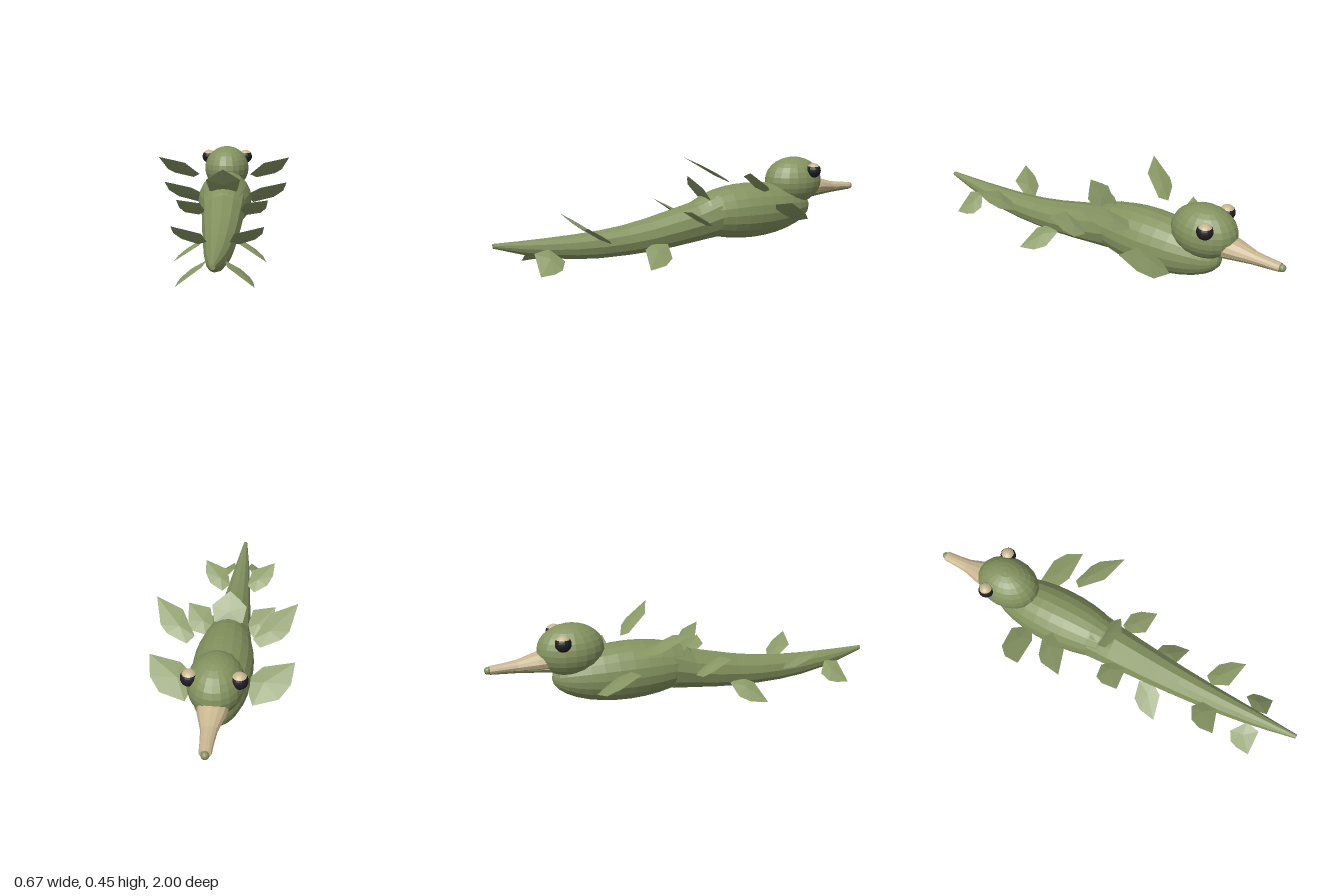
import * as THREE from 'three';

const mat = (name, color, side = THREE.FrontSide) =>
  Object.assign(new THREE.MeshStandardMaterial({ color, flatShading: true, side }), { name });

export function createModel() {
  const green = mat('body green', 0x84935f);
  const leafGreen = mat('leaf green', 0x8a9966, THREE.DoubleSide);
  const tan = mat('snout tan', 0xc8b690);
  const black = mat('eye black', 0x1e1e22);

  const model = new THREE.Group();
  const add = (name, geometry, material) => {
    const mesh = new THREE.Mesh(geometry, material);
    mesh.name = name;
    model.add(mesh);
    return mesh;
  };

  const build = (pos, idx) => {
    const g = new THREE.BufferGeometry();
    g.setAttribute('position', new THREE.Float32BufferAttribute(pos, 3));
    g.setIndex(idx);
    g.computeVertexNormals();
    return g;
  };

  // Lofted elliptical rings [z, centreY, radiusX, radiusY], listed from -z to +z
  const loft = (rings, sides) => {
    const pos = [], idx = [];
    for (const [z, y, rx, ry] of rings) {
      for (let i = 0; i < sides; i++) {
        const a = (i / sides) * Math.PI * 2;
        pos.push(Math.sin(a) * rx, y + Math.cos(a) * ry, z);
      }
    }
    const n = rings.length, e = (n - 1) * sides, cap = n * sides;
    pos.push(0, rings[0][1], rings[0][0], 0, rings[n - 1][1], rings[n - 1][0]);
    for (let i = 0; i < sides; i++) {
      const j = (i + 1) % sides;
      for (let r = 0; r < e; r += sides) {
        const a = r + i, b = r + j, c = a + sides, d = b + sides;
        idx.push(a, c, b, b, c, d);
      }
      idx.push(cap, i, j, cap + 1, e + j, e + i);
    }
    return build(pos, idx);
  };

  // Trunk with its poles along z, and head
  const trunk = new THREE.SphereGeometry(1, 20, 16).rotateX(Math.PI / 2).scale(0.143, 0.143, 0.37);
  add('trunk', trunk, green).position.set(0, 0.192, -0.325);
  const head = new THREE.SphereGeometry(1, 20, 14).scale(0.125, 0.125, 0.16);
  add('head', head, green).position.set(0, 0.328, -0.6);

  // Long tapering tail
  add('tail', loft([
    [-0.11, 0.19, 0.118, 0.12], [0, 0.16, 0.106, 0.101], [0.12, 0.139, 0.097, 0.094],
    [0.25, 0.119, 0.087, 0.084], [0.37, 0.107, 0.077, 0.075], [0.5, 0.101, 0.066, 0.068],
    [0.62, 0.103, 0.056, 0.06], [0.75, 0.112, 0.043, 0.048], [0.87, 0.127, 0.028, 0.032],
    [1, 0.149, 0.011, 0.011],
  ], 12), green);

  // Snout: tan upper part, green jaw below, rounded mouth
  add('snout', loft([
    [-0.975, 0.272, 0.026, 0.018], [-0.91, 0.275, 0.03, 0.021],
    [-0.85, 0.278, 0.036, 0.026], [-0.76, 0.288, 0.062, 0.043], [-0.68, 0.295, 0.075, 0.05],
  ], 12), tan);
  add('jaw', loft([
    [-0.975, 0.267, 0.022, 0.016], [-0.85, 0.262, 0.03, 0.018],
    [-0.75, 0.257, 0.045, 0.022], [-0.66, 0.255, 0.06, 0.03],
  ], 12), green);
  add('mouth', new THREE.SphereGeometry(0.018, 10, 8), green).position.set(0, 0.27, -0.982);

  // Faceted leaf from its [x, z] outline, on the sloping plane through its tip (index 4),
  // swelling to a shallow ridge point on both faces
  const leaf = (outline, tipY, slopeX, slopeZ, bulge) => {
    const [tx, tz] = outline[4];
    const pts = outline.map(([x, z]) =>
      new THREE.Vector3(x, tipY + slopeX * (x - tx) + slopeZ * (z - tz), z));
    const n = pts.length;
    const centre = pts.reduce((sum, p) => sum.add(p), new THREE.Vector3()).divideScalar(n);
    centre.lerp(pts[0], 0.25);
    const normal = new THREE.Vector3(-slopeX, 1, -slopeZ).normalize();
    for (const s of [1, -1]) pts.push(centre.clone().addScaledVector(normal, bulge * s));
    const idx = [];
    for (let i = 0; i < n; i++) {
      const j = (i + 1) % n;
      idx.push(n, j, i, n + 1, i, j);
    }
    return build(pts.flatMap((p) => p.toArray()), idx);
  };

  // Paired leaves: outline, tip height, slope along x and along z
  const leaves = [
    ['shoulderLeaf', [[0.11, -0.42], [0.153, -0.52], [0.27, -0.505], [0.32, -0.45], [0.334, -0.36], [0.19, -0.365]], 0.278, 0.2, 0.62],
    ['backLeaf', [[0.135, -0.275], [0.17, -0.31], [0.265, -0.275], [0.30, -0.24], [0.334, -0.12], [0.205, -0.165]], 0.44, 0.05, 0.63],
    ['hipLeaf', [[0.085, 0.03], [0.12, -0.015], [0.19, -0.005], [0.215, 0.04], [0.222, 0.125], [0.11, 0.115]], 0.257, 0.1, 0.62],
    ['lowerLeaf', [[0.065, 0.25], [0.085, 0.185], [0.165, 0.2], [0.2, 0.25], [0.214, 0.335], [0.1, 0.31]], 0.003, -0.62, 0],
    ['tailLeaf', [[0.05, 0.52], [0.09, 0.48], [0.16, 0.51], [0.19, 0.56], [0.196, 0.63], [0.07, 0.6]], 0.228, 0.15, 0.62],
    ['tailTipLeaf', [[0.035, 0.76], [0.1, 0.705], [0.14, 0.73], [0.153, 0.77], [0.157, 0.835], [0.05, 0.83]], 0.025, -0.75, 0],
  ];

  for (const s of [1, -1]) {
    const side = s > 0 ? 'left' : 'right';
    for (const [name, outline, y, sx, sz] of leaves) {
      add(`${side} ${name}`, leaf(outline.map(([x, z]) => [x * s, z]), y, sx * s, sz, 0.009), leafGreen);
    }

    // Eye: dark ball with a tan upper lid
    const eye = new THREE.Group();
    eye.name = `${side}Eye`;
    const cut = Math.PI * 0.3;
    const lid = new THREE.Mesh(new THREE.SphereGeometry(0.038, 16, 5, 0, Math.PI * 2, 0, cut), tan);
    const ball = new THREE.Mesh(new THREE.SphereGeometry(0.038, 16, 10, 0, Math.PI * 2, cut, Math.PI - cut), black);
    lid.name = 'eyelid';
    ball.name = 'eyeball';
    eye.add(lid, ball);
    eye.position.set(0.106 * s, 0.389, -0.655);
    model.add(eye);
  }

  // Single leaf on the middle of the back
  const dorsalOutline = [[0, -0.065], [-0.07, -0.06], [-0.085, -0.01], [-0.04, 0.015], [0, 0.035],
    [0.04, 0.015], [0.085, -0.01], [0.07, -0.06]];
  add('dorsalLeaf', leaf(dorsalOutline, 0.395, 0, 1.28, 0.006), leafGreen);

  return model;
}
